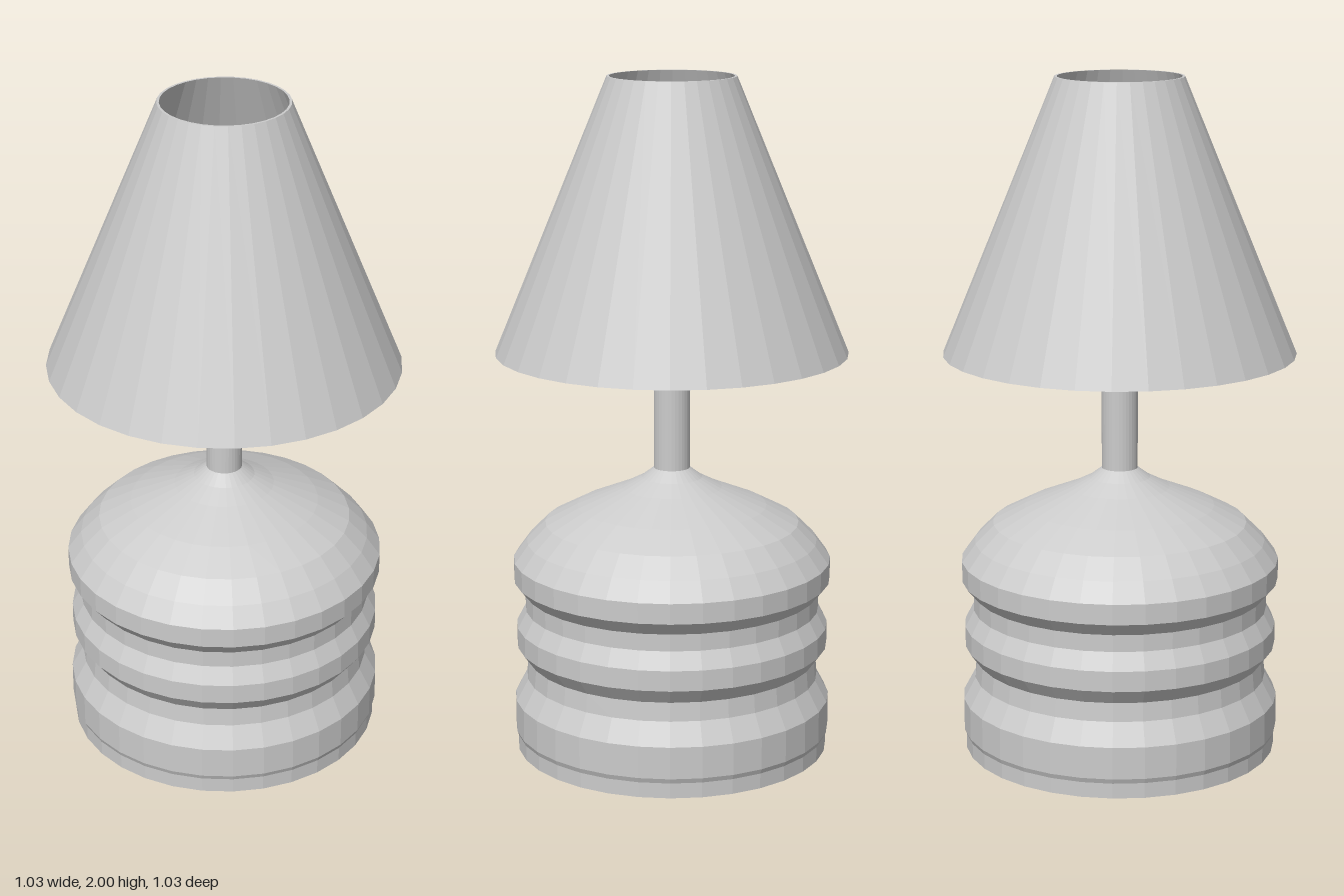
import * as THREE from 'three';

const SIDES = 32;

export function createModel() {
  const lamp = new THREE.Group();
  lamp.name = 'tableLamp';
  const material = new THREE.MeshStandardMaterial({ color: 0xcccccc, flatShading: true });

  const add = (name, geometry, y = 0) => {
    const mesh = new THREE.Mesh(geometry, material);
    mesh.name = name;
    mesh.position.y = y;
    lamp.add(mesh);
  };
  // Turn a [radius, height] profile around the y axis
  const turn = (profile) =>
    new THREE.LatheGeometry(profile.map(([r, y]) => new THREE.Vector2(r, y)), SIDES);

  // Ribbed body with a domed shoulder, closed at both ends
  add('base', turn([
    [0, 0], [0.464, 0], [0.464, 0.045], [0.47, 0.06], [0.47, 0.155],
    [0.435, 0.22], [0.43, 0.275], [0.463, 0.32], [0.463, 0.38],
    [0.437, 0.43], [0.437, 0.48], [0.47, 0.52], [0.47, 0.58],
    [0.43, 0.635], [0.375, 0.69], [0.28, 0.74], [0.148, 0.795],
    [0.09, 0.825], [0.053, 0.853], [0, 0.853],
  ]));

  // Stem, reaching up into the bulb
  add('stem', new THREE.CylinderGeometry(0.053, 0.053, 0.66, SIDES), 1.16);

  // Bulb
  add('bulb', new THREE.SphereGeometry(0.095, SIDES, 16), 1.55);

  // Thin conical shade, open at top and bottom
  add('shade', turn([
    [0.507, 1.2], [0.515, 1.2], [0.186, 2], [0.179, 2], [0.507, 1.2],
  ]));

  return lamp;
}
